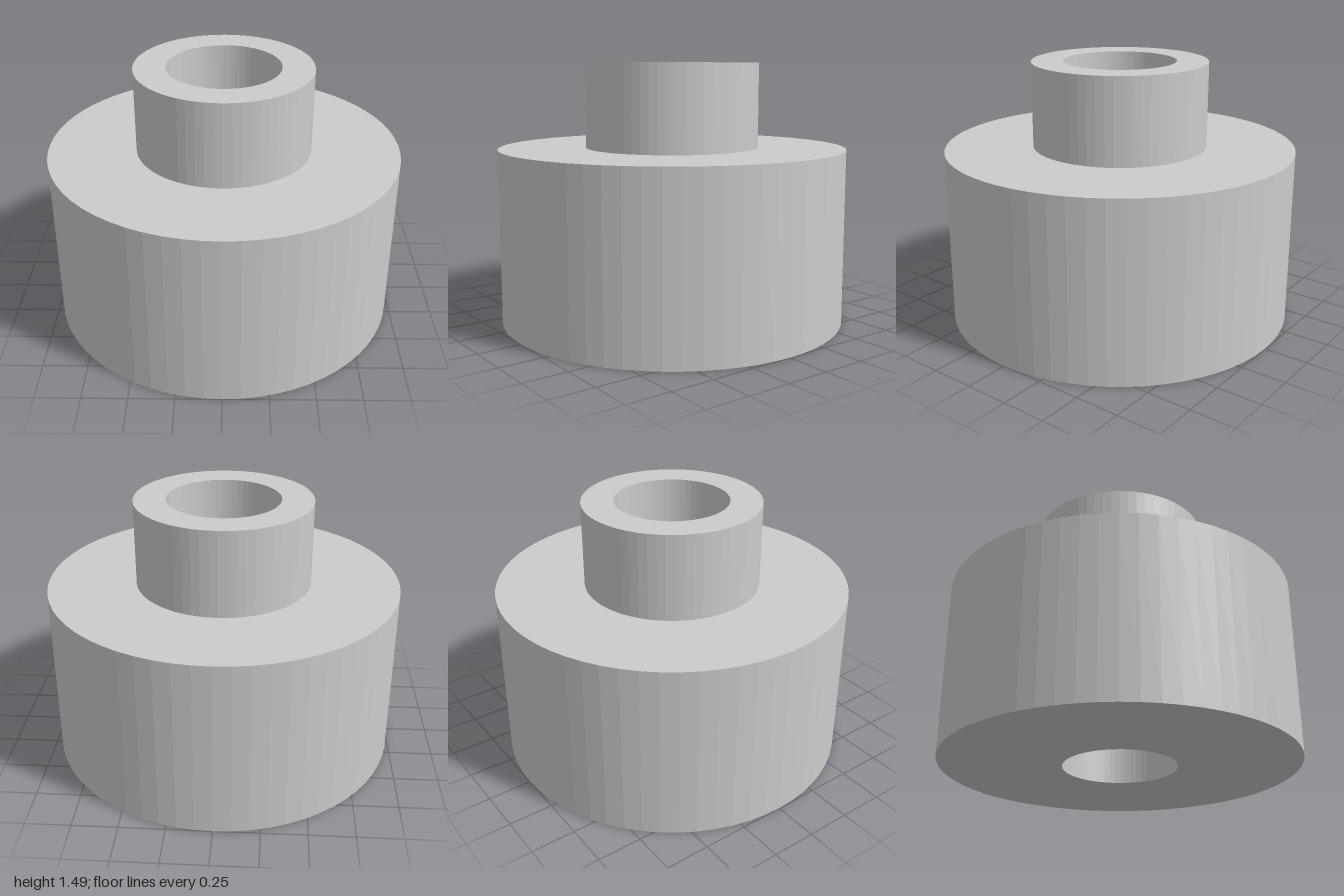
import * as THREE from 'three';

const BODY_R = 1, NECK_R = 0.5, BORE_R = 0.32;
const BODY_H = 1, TOTAL_H = 1.485;

export function createModel() {
  const group = new THREE.Group();
  group.name = 'steppedBushing';
  const material = new THREE.MeshStandardMaterial({ color: 0xcccccc, flatShading: true });

  // Closed section: base, outer wall, shoulder, neck wall, rim and through bore
  const profile = [
    [BORE_R, 0], [BODY_R, 0], [BODY_R, BODY_H], [NECK_R, BODY_H],
    [NECK_R, TOTAL_H], [BORE_R, TOTAL_H], [BORE_R, 0],
  ].map(([r, y]) => new THREE.Vector2(r, y));

  const bushing = new THREE.Mesh(new THREE.LatheGeometry(profile, 64), material);
  bushing.name = 'bushing';
  group.add(bushing);
  return group;
}
